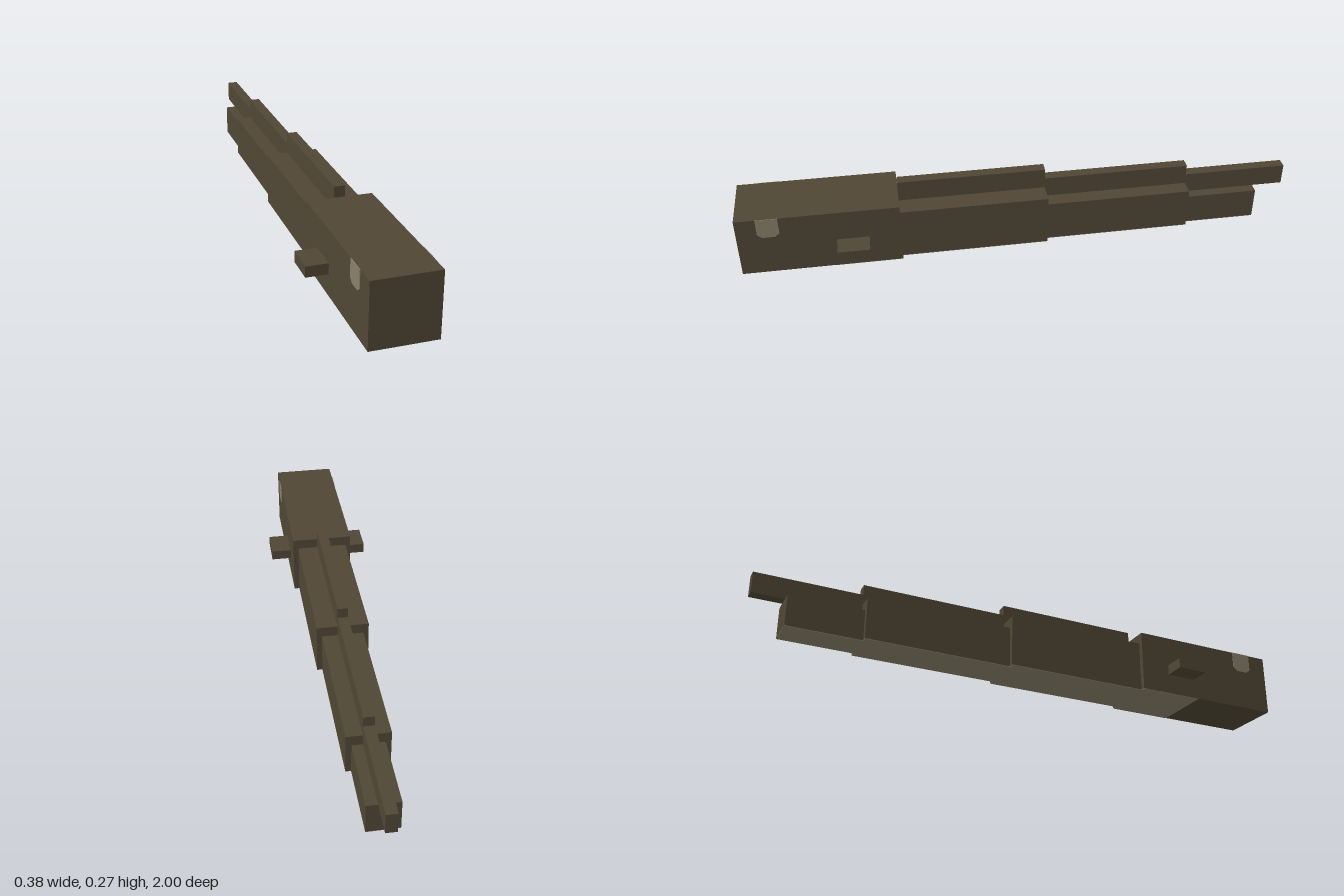
import * as THREE from 'three';

const hide = new THREE.MeshStandardMaterial({ color: 0x4f4634 });
hide.name = 'darkOlive';
const pale = new THREE.MeshStandardMaterial({ color: 0x88806a });
pale.name = 'paleOlive';

const PLATE = 0.002;

// Box given by its limits on each axis
function block(name, material, [x0, x1], [y0, y1], [z0, z1]) {
  const mesh = new THREE.Mesh(new THREE.BoxGeometry(x1 - x0, y1 - y0, z1 - z0), material);
  mesh.position.set((x0 + x1) / 2, (y0 + y1) / 2, (z0 + z1) / 2);
  mesh.name = name;
  return mesh;
}

export function createModel() {
  const model = new THREE.Group();
  model.name = 'steppedFish';

  // Body sections from head to tail; the pale belly starts partway along the head
  const sections = [
    { name: 'head', w: 0.113, h: 0.227, z: [0.435, 1], belly: [0.435, 0.675] },
    { name: 'frontBody', w: 0.094, h: 0.19, z: [-0.094, 0.435], fin: [-0.094, 0.435] },
    { name: 'rearBody', w: 0.075, h: 0.152, z: [-0.623, -0.094], fin: [-0.623, -0.094] },
    { name: 'tail', w: 0.056, h: 0.114, z: [-0.887, -0.623], fin: [-1, -0.623] },
  ];
  for (const s of sections) {
    const isHead = s.name === 'head';
    model.add(block(s.name, hide, [-s.w, s.w], [isHead ? 0.001 : PLATE, s.h], s.z));
    model.add(block(s.name + 'Belly', pale, [-s.w, s.w], [0, PLATE], s.belly ?? s.z));
    // Ridge fin along the back
    if (s.fin) model.add(block(s.name + 'Fin', hide, [-0.019, 0.019], [s.h, s.h + 0.076], s.fin));
  }

  // Eye outline: flat top, clipped lower corners
  const eyeShape = new THREE.Shape([
    [-0.038, 0.227], [-0.038, 0.165], [-0.022, 0.152],
    [0.022, 0.152], [0.038, 0.165], [0.038, 0.227],
  ].map(([x, y]) => new THREE.Vector2(x, y)));
  const eyeGeometry = new THREE.ExtrudeGeometry(eyeShape, { depth: PLATE, bevelEnabled: false });

  for (const [side, label] of [[1, 'left'], [-1, 'right']]) {
    // Side fins
    const xs = [side * 0.113, side * 0.189].sort((a, b) => a - b);
    model.add(block(label + 'SideFin', hide, xs, [0.076, 0.114], [0.547, 0.66]));

    const eye = new THREE.Mesh(eyeGeometry, pale);
    eye.rotation.y = side * Math.PI / 2;
    eye.position.set(side * 0.113, 0, 0.89);
    eye.name = label + 'Eye';
    model.add(eye);
  }
  return model;
}
